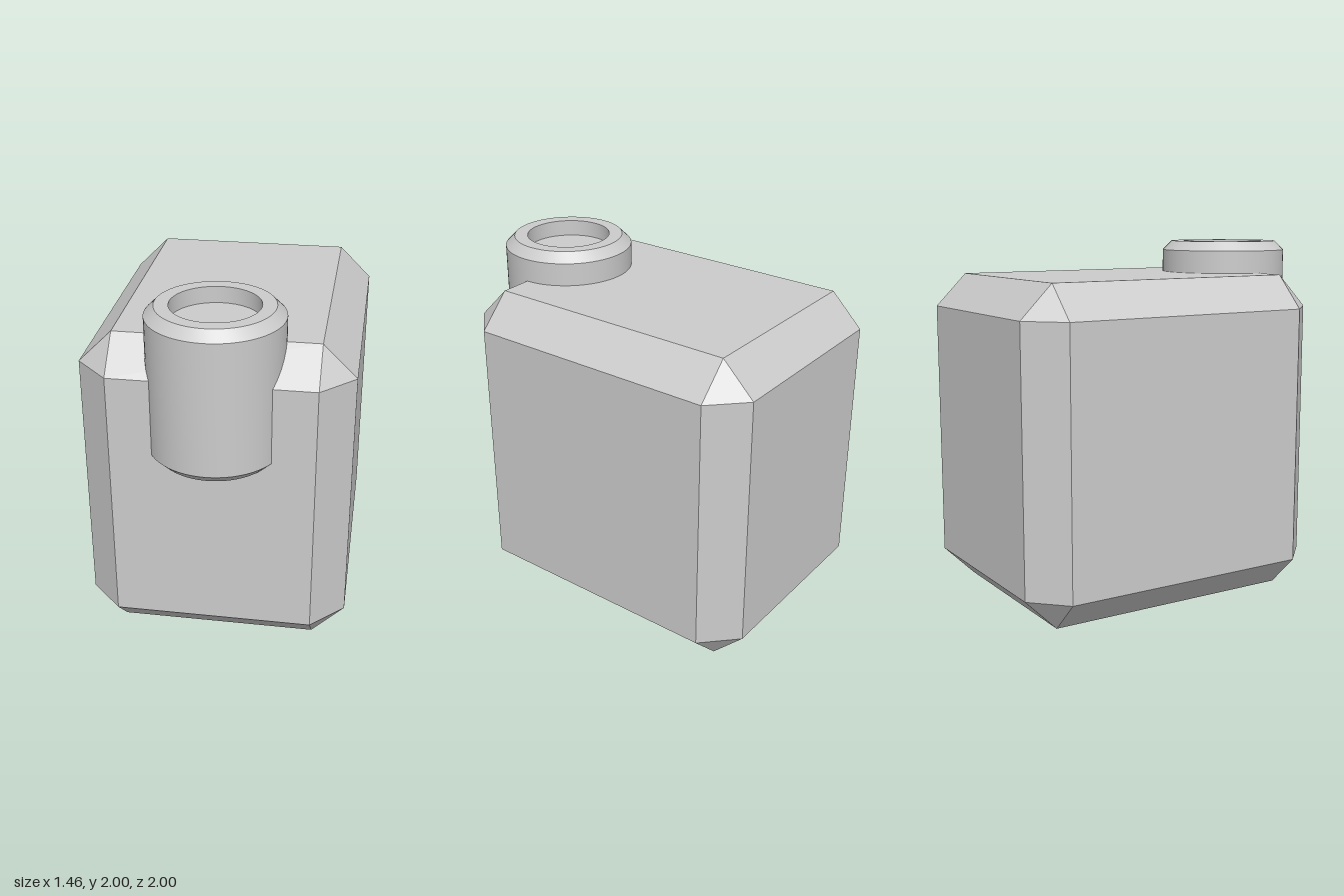
import * as THREE from 'three';
import { toCreasedNormals } from 'three/addons/utils/BufferGeometryUtils.js';
import { ConvexGeometry } from 'three/addons/geometries/ConvexGeometry.js';

const material = new THREE.MeshStandardMaterial({ color: 0xcccccc });

// Box with flat bevelled edges and triangular corners
function chamferedBox(width, height, depth, c) {
  const half = [width / 2, height / 2, depth / 2];
  const points = [];
  for (const sx of [-1, 1]) for (const sy of [-1, 1]) for (const sz of [-1, 1]) {
    for (let face = 0; face < 3; face++) {
      const [x, y, z] = half.map((h, axis) => (axis === face ? h : h - c));
      points.push(new THREE.Vector3(sx * x, sy * y, sz * z));
    }
  }
  return new ConvexGeometry(points);
}

export function createModel() {
  const model = new THREE.Group();
  model.name = 'canister';

  // Main body
  const body = new THREE.Mesh(chamferedBox(1.455, 1.818, 1.818, 0.182), material);
  body.name = 'body';
  body.position.set(0, 0.909, -0.091);
  model.add(body);

  // Round spout with bevelled rims and a shallow recess in its top
  const bottom = 1.155, top = 2, radius = 0.364, bevel = 0.053;
  const recessRadius = 0.236, recessDepth = 0.09;
  const profile = [
    [0, bottom],
    [radius - bevel, bottom],
    [radius, bottom + bevel],
    [radius, top - bevel],
    [radius - bevel, top],
    [recessRadius, top],
    [recessRadius, top - recessDepth],
    [0, top - recessDepth],
  ].map(([r, y]) => new THREE.Vector2(r, y));
  const spoutGeometry = toCreasedNormals(new THREE.LatheGeometry(profile, 64), Math.PI / 6);
  const spout = new THREE.Mesh(spoutGeometry, material);
  spout.name = 'spout';
  spout.position.z = 0.636;
  model.add(spout);

  return model;
}
